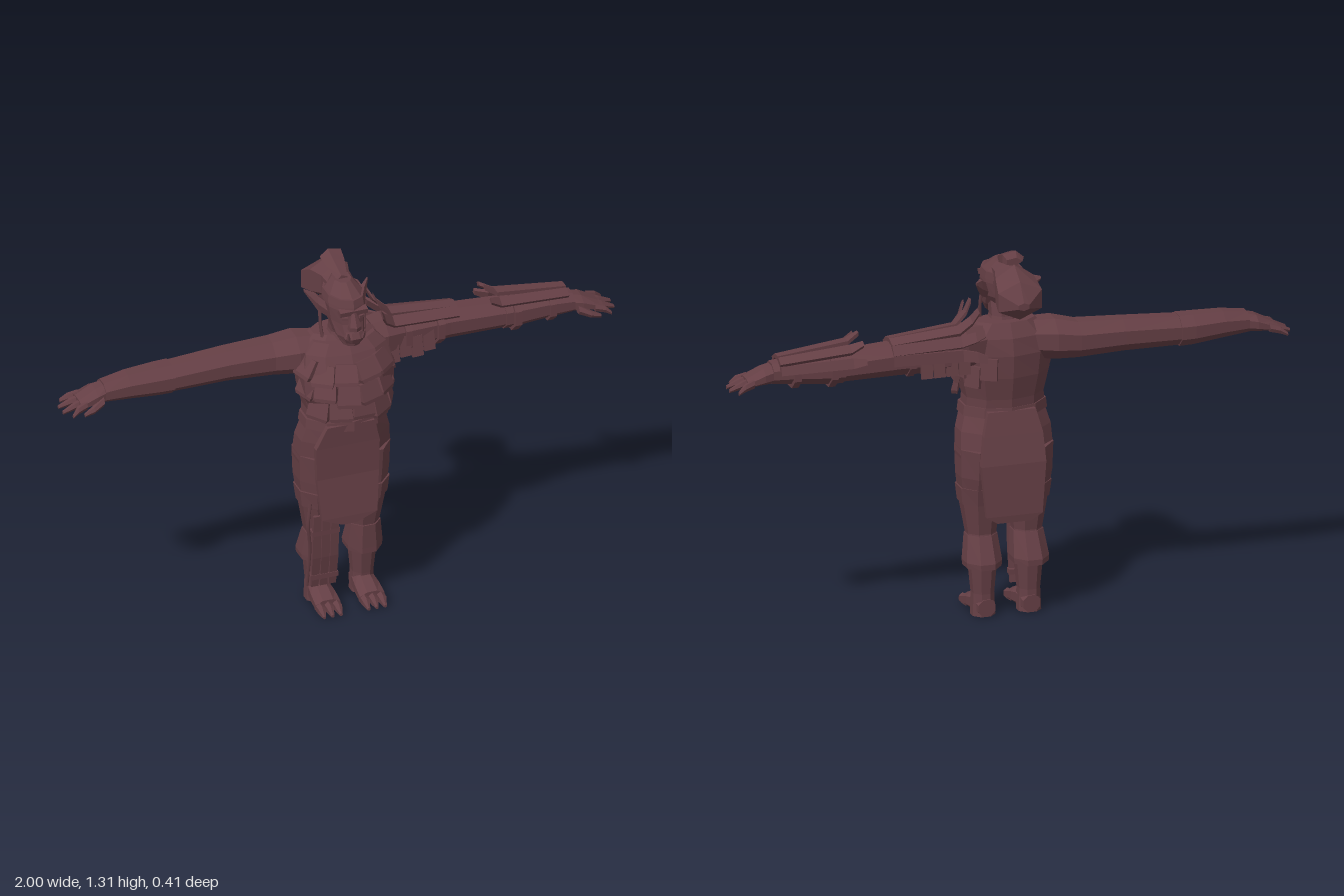
import * as THREE from 'three';

const skin = new THREE.MeshStandardMaterial({ color: 0x653f45 });
skin.name = 'dark umber';

function addMesh(parent, name, geometry) {
  const mesh = new THREE.Mesh(geometry, skin);
  mesh.name = name;
  parent.add(mesh);
  return mesh;
}

// Faceted solid through rings [x, y, z, ra, rb] lying square to one axis.
// ra and rb are half sizes: axis y -> x,z   axis x -> y,z   axis z -> x,y
function loft(parent, name, axis, n, rings) {
  const pos = [], idx = [], k = 1 / Math.cos(Math.PI / n);
  for (const [x, y, z, ra, rb] of rings) {
    for (let i = 0; i < n; i++) {
      const t = ((i + 0.5) / n) * Math.PI * 2;
      const a = Math.cos(t) * ra * k, b = Math.sin(t) * rb * k;
      if (axis === 'y') pos.push(x + a, y, z + b);
      else if (axis === 'x') pos.push(x, y + a, z + b);
      else pos.push(x + a, y + b, z);
    }
  }
  const last = rings.length - 1;
  for (let r = 0; r < last; r++) {
    for (let i = 0; i < n; i++) {
      const a = r * n + i, b = r * n + ((i + 1) % n);
      idx.push(a, b, b + n, a, b + n, a + n);
    }
  }
  for (let i = 1; i < n - 1; i++) {
    idx.push(0, i + 1, i, last * n, last * n + i, last * n + i + 1);
  }
  // turn the faces outward
  const v = (i) => new THREE.Vector3().fromArray(pos, i * 3);
  let volume = 0;
  for (let i = 0; i < idx.length; i += 3) volume += v(idx[i]).dot(v(idx[i + 1]).cross(v(idx[i + 2])));
  if (volume < 0) idx.reverse();
  let g = new THREE.BufferGeometry();
  g.setAttribute('position', new THREE.Float32BufferAttribute(pos, 3));
  g.setIndex(idx);
  g = g.toNonIndexed();
  g.computeVertexNormals();
  return addMesh(parent, name, g);
}

function box(parent, name, size, at, rot = [0, 0, 0]) {
  const m = addMesh(parent, name, new THREE.BoxGeometry(...size));
  m.position.set(...at);
  m.rotation.set(rot[0], rot[1], rot[2], 'YXZ');
  return m;
}

function cord(parent, name, points, r) {
  const curve = new THREE.CatmullRomCurve3(points.map((p) => new THREE.Vector3(...p)));
  return addMesh(parent, name, new THREE.TubeGeometry(curve, 10, r, 4));
}

function buildTorso(g) {
  loft(g, 'torso', 'y', 10, [
    [0, 0.72, 0.035, 0.14, 0.1], [0, 0.78, 0.03, 0.137, 0.1], [0, 0.86, 0.03, 0.155, 0.115],
    [0, 0.94, 0.025, 0.165, 0.115], [0, 1.0, 0.01, 0.16, 0.09], [0, 1.05, 0, 0.1, 0.055]]);
  loft(g, 'neck', 'y', 8, [[0, 0.99, 0.02, 0.065, 0.065], [0, 1.06, 0.025, 0.045, 0.045], [0, 1.12, 0.04, 0.045, 0.045]]);
  loft(g, 'belt', 'y', 10, [[0, 0.715, 0.035, 0.15, 0.107], [0, 0.75, 0.035, 0.146, 0.104]]);
  // chest armour: padding under overlapping scales
  loft(g, 'chestPadding', 'y', 10, [
    [0, 0.8, 0.06, 0.135, 0.09], [0, 0.85, 0.07, 0.16, 0.1], [0, 0.92, 0.065, 0.163, 0.095],
    [0, 1.0, 0.04, 0.145, 0.075], [0, 1.035, 0.03, 0.11, 0.06]]);
  const rows = [[0.955, 0.128, 6, -0.4], [0.89, 0.155, 6, -0.18], [0.825, 0.155, 5, -0.05]];
  rows.forEach(([y, rz, count, tilt], r) => {
    for (let i = 0; i < count; i++) {
      const t = (i - (count - 1) / 2) * 0.5 + (r === 2 ? 0.12 : 0.04);
      const drop = ((i * 3 + r) % 4) * 0.006;
      const plate = loft(g, 'chestScale', 'y', 4, [
        [0, -0.038, 0.004, 0.036, 0.01], [0, -0.025, 0.005, 0.041, 0.011], [0, 0.036, -0.003, 0.036, 0.007]]);
      plate.position.set(0.155 * Math.sin(t), y - drop, 0.025 + rz * Math.cos(t));
      plate.rotation.set(tilt, t, (i % 2 - 0.5) * 0.12, 'YXZ');
    }
  });
  // scales under the armoured shoulder, running round to the back
  for (let i = 0; i < 4; i++) {
    const t = 1.45 + i * 0.38;
    box(g, 'sideScale', [0.06, 0.075, 0.014],
      [0.165 * Math.sin(t), 0.87 + (i % 2) * 0.03, 0.02 + 0.125 * Math.cos(t)], [-0.1, t, 0]);
  }
}

function buildHips(g) {
  loft(g, 'hips', 'y', 10, [
    [0, 0.5, 0.015, 0.155, 0.095], [0, 0.58, 0.015, 0.165, 0.106], [0, 0.66, 0.025, 0.16, 0.104], [0, 0.72, 0.035, 0.143, 0.1]]);
  loft(g, 'frontApron', 'y', 4, [
    [-0.02, 0.36, 0.148, 0.025, 0.006], [-0.02, 0.39, 0.145, 0.1, 0.008], [-0.02, 0.54, 0.127, 0.112, 0.01],
    [-0.02, 0.66, 0.125, 0.115, 0.012], [-0.01, 0.74, 0.13, 0.085, 0.01]]);
  loft(g, 'backApron', 'y', 4, [
    [0.005, 0.355, -0.11, 0.06, 0.006], [0.005, 0.38, -0.11, 0.1, 0.008], [0.005, 0.56, -0.1, 0.115, 0.012],
    [0, 0.66, -0.08, 0.105, 0.012], [0, 0.74, -0.065, 0.085, 0.01]]);
}

function buildLeg(g, s) {
  loft(g, 'leg', 'y', 8, [
    [s * 0.082, 0, -0.005, 0.04, 0.04], [s * 0.082, 0.08, -0.002, 0.037, 0.04], [s * 0.082, 0.19, 0, 0.047, 0.05],
    [s * 0.082, 0.29, 0.018, 0.05, 0.048], [s * 0.084, 0.4, 0.022, 0.066, 0.066], [s * 0.085, 0.5, 0.015, 0.077, 0.085],
    [s * 0.084, 0.6, 0.015, 0.08, 0.098]]);
  loft(g, 'thighBand', 'y', 8, [[s * 0.084, 0.4, 0.022, 0.071, 0.072], [s * 0.085, 0.46, 0.02, 0.077, 0.082]]);
  loft(g, 'kneeCuff', 'y', 8, [
    [s * 0.084, 0.175, -0.003, 0.061, 0.07], [s * 0.084, 0.195, -0.003, 0.063, 0.07], [s * 0.082, 0.285, 0.018, 0.053, 0.052]]);
  loft(g, 'foot', 'z', 8, [
    [s * 0.08, 0.03, -0.045, 0.03, 0.03], [s * 0.08, 0.04, 0.01, 0.038, 0.04], [s * 0.08, 0.033, 0.055, 0.043, 0.033],
    [s * 0.08, 0.022, 0.105, 0.045, 0.022]]);
  for (const o of [-0.03, 0, 0.03]) {
    loft(g, 'toe', 'z', 6, [
      [s * 0.08 + o, 0.02, 0.09, 0.014, 0.018], [s * 0.08 + o, 0.018, 0.125, 0.013, 0.016], [s * 0.08 + o, 0.006, 0.152, 0.005, 0.005]]);
  }
}

function buildShinGuard(g) {
  for (const x of [-0.112, -0.08, -0.048]) {
    loft(g, 'shinSlat', 'y', 4, [
      [x, 0.08, 0.055, 0.013, 0.006], [x, 0.2, 0.072, 0.015, 0.008], [x, 0.37, 0.085, 0.014, 0.006]]);
  }
  for (const y of [0.12, 0.3]) box(g, 'shinStrap', [0.1, 0.018, 0.03], [-0.08, y, 0.045 + y * 0.09]);
  cord(g, 'legCord', [[-0.135, 0.42, 0.08], [-0.145, 0.34, 0.085], [-0.135, 0.25, 0.075], [-0.14, 0.09, 0.06]], 0.006);
}

function buildArm(g, s) {
  loft(g, 'arm', 'x', 8, [
    [s * 0.06, 0.975, 0, 0.065, 0.06], [s * 0.16, 0.973, -0.02, 0.072, 0.075], [s * 0.24, 0.965, -0.035, 0.063, 0.066],
    [s * 0.4, 0.965, -0.04, 0.056, 0.06], [s * 0.62, 0.957, -0.04, 0.05, 0.056]]);
  loft(g, 'forearm', 'x', 8, [
    [s * 0.6, 0.957, -0.04, 0.054, 0.06], [s * 0.65, 0.957, -0.04, 0.053, 0.059], [s * 0.76, 0.96, -0.035, 0.046, 0.052],
    [s * 0.85, 0.957, -0.03, 0.036, 0.045]]);
  loft(g, 'hand', 'x', 8, [
    [s * 0.83, 0.957, -0.03, 0.034, 0.04], [s * 0.88, 0.95, -0.03, 0.029, 0.049], [s * 0.94, 0.932, -0.028, 0.016, 0.048]]);
  [-0.07, -0.042, -0.014, 0.012].forEach((z, i) => {
    const tip = [0.98, 1, 0.998, 0.975][i], spread = (i - 1.5) * 0.006;
    loft(g, 'finger', 'x', 6, [
      [s * 0.92, 0.936, z, 0.014, 0.012], [s * 0.955, 0.927, z + spread, 0.012, 0.011], [s * tip, 0.912, z + spread * 2, 0.006, 0.006]]);
  });
  loft(g, 'thumb', 'x', 6, [
    [s * 0.86, 0.94, 0.01, 0.016, 0.018], [s * 0.9, 0.922, 0.028, 0.012, 0.012], [s * 0.935, 0.912, 0.035, 0.006, 0.006]]);
}

// Slats lashed round the left arm, flaring at their inner ends
function buildArmGuard(g, name, y, z, angles, path, straps) {
  angles.forEach((deg) => {
    const m = loft(g, name + 'Slat', 'x', 4, path.map(([x, r, w]) => [x, r, 0, 0.007, w]));
    m.position.set(0, y, z);
    m.rotation.x = -THREE.MathUtils.degToRad(deg);
  });
  for (const [x, r] of straps) {
    loft(g, name + 'Strap', 'x', 8, [[x - 0.012, y, z, r, r + 0.003], [x + 0.012, y, z, r, r + 0.003]]);
  }
}

function buildHead(g) {
  loft(g, 'head', 'y', 10, [
    [0, 1.05, 0.11, 0.032, 0.035], [0, 1.085, 0.085, 0.05, 0.068], [0, 1.13, 0.05, 0.06, 0.09],
    [0, 1.18, 0.045, 0.066, 0.092], [0, 1.215, 0.04, 0.062, 0.09], [0, 1.255, 0.02, 0.03, 0.045]]);
  loft(g, 'headband', 'y', 10, [[0, 1.195, 0.042, 0.069, 0.096], [0, 1.22, 0.038, 0.065, 0.092]]);
  box(g, 'brow', [0.1, 0.018, 0.025], [0, 1.178, 0.13], [0.2, 0, 0]);
  loft(g, 'nose', 'y', 6, [[0, 1.115, 0.145, 0.022, 0.02], [0, 1.13, 0.147, 0.02, 0.02], [0, 1.175, 0.135, 0.009, 0.01]]);
  loft(g, 'mouth', 'y', 8, [[0, 1.065, 0.135, 0.028, 0.022], [0, 1.085, 0.143, 0.036, 0.022], [0, 1.105, 0.135, 0.03, 0.02]]);
  for (const s of [-1, 1]) {
    loft(g, 'tusk', 'y', 5, [[s * 0.026, 1.085, 0.155, 0.007, 0.007], [s * 0.03, 1.115, 0.165, 0.002, 0.002]]);
    box(g, 'eye', [0.02, 0.01, 0.008], [s * 0.03, 1.155, 0.134], [0, s * 0.3, 0]);
    loft(g, 'ear', 'x', 6, [
      [s * 0.055, 1.145, 0.035, 0.026, 0.022], [s * 0.085, 1.165, 0.005, 0.028, 0.02], [s * 0.115, 1.192, -0.035, 0.005, 0.005]]);
    cord(g, 'earring', [[s * 0.078, 1.145, 0.02], [s * 0.08, 1.09, 0.03], [s * 0.074, 1.02, 0.045]], 0.006);
  }
  loft(g, 'hair', 'z', 6, [
    [0, 1.21, 0.03, 0.045, 0.04], [0, 1.2, -0.04, 0.05, 0.06], [0, 1.187, -0.1, 0.068, 0.073],
    [0, 1.162, -0.16, 0.078, 0.058], [0, 1.153, -0.203, 0.02, 0.012]]);
  box(g, 'hairLock', [0.07, 0.09, 0.035], [0, 1.13, -0.08], [0.2, 0, 0]);
  loft(g, 'topknot', 'z', 5, [
    [0, 1.252, 0.035, 0.016, 0.012], [0, 1.275, -0.03, 0.03, 0.02], [0, 1.288, -0.075, 0.034, 0.021], [0, 1.28, -0.095, 0.025, 0.012]]);
}

export function createModel() {
  const model = new THREE.Group();
  model.name = 'tribalWarrior';
  const part = (name, build, ...args) => {
    const g = new THREE.Group();
    g.name = name;
    build(g, ...args);
    model.add(g);
  };
  part('torsoGroup', buildTorso);
  part('hipGroup', buildHips);
  part('headGroup', buildHead);
  for (const s of [-1, 1]) {
    const side = s > 0 ? 'left' : 'right';
    part(side + 'Leg', buildLeg, s);
    part(side + 'Arm', buildArm, s);
  }
  part('rightShinGuard', buildShinGuard);
  part('leftShoulderGuard', buildArmGuard, 'shoulder', 0.967, -0.035, [-38, -8, 24, 55, 86],
    [[0.13, 0.165, 0.014], [0.15, 0.125, 0.018], [0.19, 0.085, 0.02], [0.43, 0.062, 0.019]], [[0.24, 0.074], [0.36, 0.067]]);
  part('leftForearmGuard', buildArmGuard, 'forearm', 0.957, -0.037, [-35, 0, 35, 70],
    [[0.54, 0.108, 0.01], [0.58, 0.083, 0.018], [0.83, 0.055, 0.016]], [[0.64, 0.064], [0.77, 0.055]]);
  // loose flaps hanging from the shoulder guard
  part('leftShoulderFlaps', (g) => {
    for (let i = 0; i < 4; i++) {
      box(g, 'shoulderFlap', [0.04, 0.075, 0.012], [0.18 + i * 0.045, 0.93 + (i % 2) * 0.012, 0.042 - i * 0.006], [-0.15, 0, 0.05]);
      box(g, 'rearFlap', [0.04, 0.06, 0.012], [0.18 + i * 0.045, 0.93, -0.105], [0.15, 0, 0]);
    }
  });
  return model;
}
